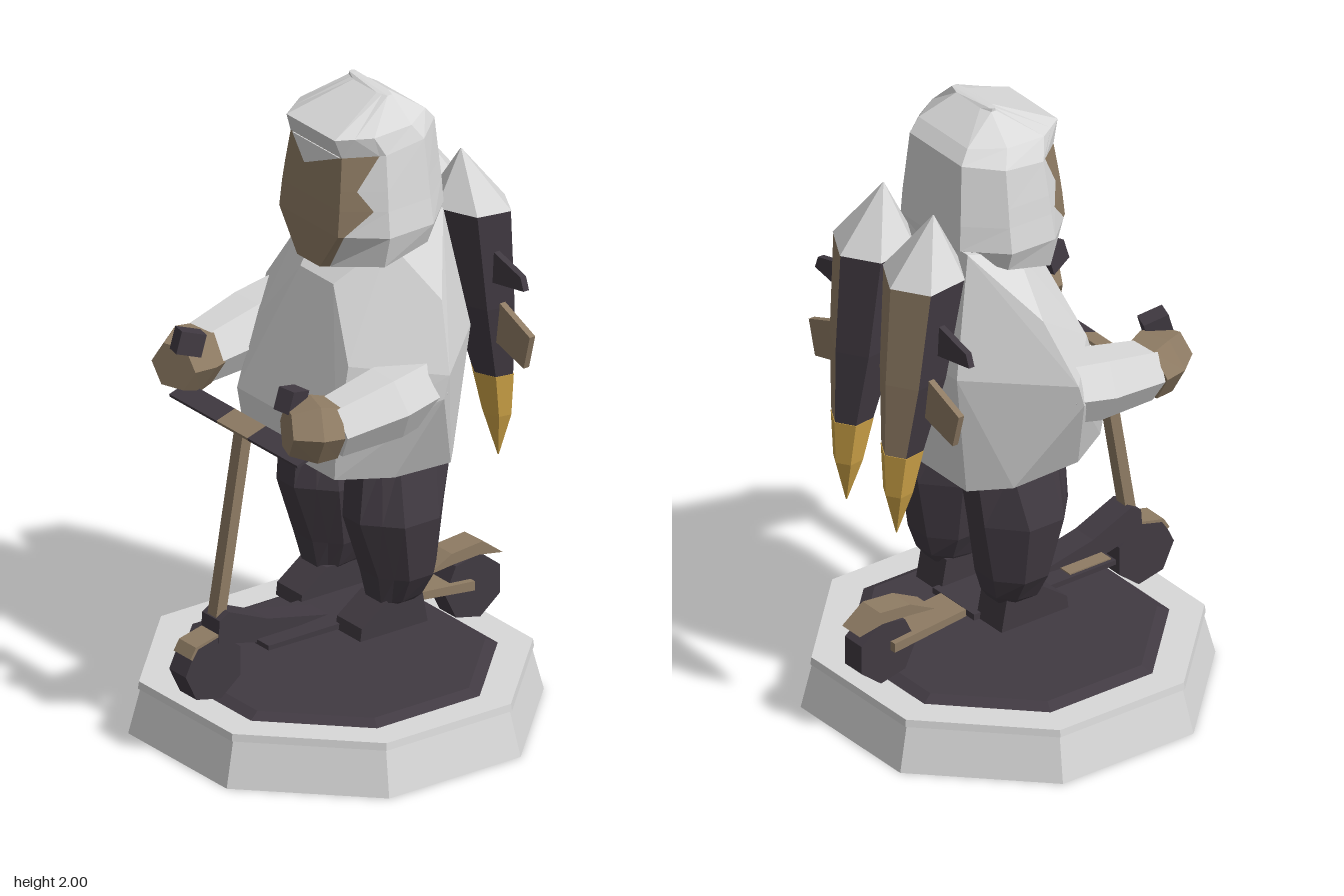
import * as THREE from 'three';
import { ConvexGeometry } from 'three/addons/geometries/ConvexGeometry.js';

const mat = (name, color) => {
  const m = new THREE.MeshStandardMaterial({ color });
  m.name = name;
  return m;
};

export function createModel() {
  const root = new THREE.Group();
  const light = mat('light grey', 0xd9d9d9);
  const brown = mat('brown', 0x8f7c64);
  const dark = mat('dark plum', 0x413a42);
  const gold = mat('gold', 0xd0a548);

  // Adds a faceted mesh
  function add(name, geo, material, parent = root) {
    const g = geo.index ? geo.toNonIndexed() : geo;
    g.computeVertexNormals();
    const m = new THREE.Mesh(g, material);
    m.name = name;
    parent.add(m);
    return m;
  }

  // Skins closed rings of points; pick(row, side) chooses the material index
  function loft(rings, pick = () => 0) {
    const pos = [], geo = new THREE.BufferGeometry(), n = rings[0].length;
    const tri = (slot, ...pts) => {
      geo.addGroup(pos.length / 3, 3, slot);
      pts.forEach(p => pos.push(p.x, p.y, p.z));
    };
    const mid = r => r.reduce((a, p) => a.add(p), new THREE.Vector3()).divideScalar(n);
    const last = rings.length - 1, c0 = mid(rings[0]), c1 = mid(rings[last]);
    for (let j = 0; j < n; j++) {
      const k = (j + 1) % n;
      for (let i = 0; i < last; i++) {
        const a = rings[i], b = rings[i + 1], s = pick(i, j);
        tri(s, a[j], a[k], b[k]);
        tri(s, a[j], b[k], b[j]);
      }
      tri(pick(-1, j), c0, rings[0][k], rings[0][j]);
      tri(pick(last, j), c1, rings[last][j], rings[last][k]);
    }
    geo.setAttribute('position', new THREE.Float32BufferAttribute(pos, 3));
    return geo;
  }

  // Level ring of eight facets; f is the width of its front and back facets,
  // t splits the two front diagonals at that fraction
  function ring([yBack, yFront, w, zBack, zFront], f = 0.5, x = 0, t = 0.5) {
    const su = f + (1 - f) * t, sv = 1 - 0.59 * t;
    const shape = [[-f, 1], [f, 1], [su, sv], [1, 0.41], [1, -0.41],
      [f, -1], [-f, -1], [-1, -0.41], [-1, 0.41], [-su, sv]];
    return shape.map(([u, v]) => {
      const h = (v + 1) / 2;
      return new THREE.Vector3(x + u * w, yBack + (yFront - yBack) * h, zBack + (zFront - zBack) * h);
    });
  }

  // Six-sided limb along a path of [x, y, z, radius]
  function limb(path) {
    const P = path.map(p => new THREE.Vector3(p[0], p[1], p[2]));
    return loft(P.map((p, i) => {
      const d = P[Math.min(i + 1, P.length - 1)].clone().sub(P[Math.max(i - 1, 0)]).normalize();
      const v = d.clone().cross(new THREE.Vector3(1, 0, 0)).normalize();
      const u = v.clone().cross(d);
      return Array.from({ length: 6 }, (_, j) => {
        const a = j / 6 * Math.PI * 2, r = path[i][3];
        return p.clone().addScaledVector(u, Math.cos(a) * r).addScaledVector(v, Math.sin(a) * r);
      });
    }));
  }

  // Side profile of [z, y] points, extruded across x
  function profile(pts, width, x = 0) {
    const s = new THREE.Shape(pts.map(p => new THREE.Vector2(...p)));
    const g = new THREE.ExtrudeGeometry(s, { depth: width, bevelEnabled: false });
    return g.rotateY(-Math.PI / 2).translate(x + width / 2, 0, 0);
  }
  const octagon = (rTop, rBottom, y0, y1) =>
    new THREE.CylinderGeometry(rTop / Math.cos(Math.PI / 8), rBottom / Math.cos(Math.PI / 8), y1 - y0, 8)
      .rotateY(Math.PI / 8).translate(0, (y0 + y1) / 2, 0);

  // Plinth
  add('plinth', octagon(0.543, 0.577, 0, 0.14), light);
  add('plinthRim', octagon(0.547, 0.55, 0.14, 0.163), light);
  add('plinthInset', octagon(0.415, 0.455, 0.16, 0.18), dark);

  // Torso with sloping shoulders and upper arms, mirrored corner points
  const corners = [
    [0.16, 1.6, -0.27], [0.2, 1.55, -0.24], [0.15, 1.54, -0.08], [0.08, 1.42, 0.07],
    [0.34, 1.41, -0.13], [0.445, 1.22, -0.08], [0.445, 1.15, -0.06], [0.22, 1.22, 0.12],
    [0.2, 1.22, -0.34], [0.35, 0.98, -0.05], [0.24, 1.0, 0.18], [0.22, 0.87, 0.17],
    [0.31, 0.87, 0.02], [0.29, 0.85, -0.2], [0.18, 0.82, -0.29],
  ];
  add('torso', new ConvexGeometry(corners.flatMap(([x, y, z]) =>
    [new THREE.Vector3(x, y, z), new THREE.Vector3(-x, y, z)])), light);

  // Hooded head with a jagged brown face opening: ring, front width, x shift, split
  const isFace = (row, side) => (row >= 0 && row < 4 && [0, 1, 9].includes(side) ? 1 : 0);
  add('hood', loft([
    [[1.57, 1.475, 0.22, -0.28, 0.1], 0.25, 0, 0.15],
    [[1.61, 1.6, 0.245, -0.285, 0.1], 0.58, 0, 0.12],
    [[1.69, 1.68, 0.232, -0.28, 0.092], 0.6, 0, 0.7],
    [[1.75, 1.74, 0.224, -0.275, 0.085], 0.6, 0, 0.35],
    [[1.88, 1.84, 0.207, -0.265, 0.072], 0.6, 0, 0.85],
    [[1.92, 1.905, 0.18, -0.23, 0.1], 0.65, 0.01, 0.5],
    [[1.99, 1.99, 0.095, -0.13, -0.09], 0.6, 0.02, 0.5],
    [[2.0, 2.0, 0.01, -0.12, -0.1], 0.5, -0.065, 0.5],
  ].map(a => ring(...a)), isFace), [light, brown]);
  const peak = new THREE.Shape([[-0.11, 0.04], [-0.04, -0.03], [0.12, 0.04]].map(p => new THREE.Vector2(...p)));
  add('hoodPeak', new THREE.ExtrudeGeometry(peak, { depth: 0.005, bevelEnabled: false })
    .rotateX(-0.13).translate(0, 1.8, 0.077), light);

  for (const s of [1, -1]) {
    const side = s > 0 ? 'left' : 'right';

    // Forearm, hand and grip
    add(side + 'Sleeve', limb([
      [s * 0.33, 1.16, -0.08, 0.105], [s * 0.33, 1.13, 0.06, 0.11], [s * 0.32, 1.1, 0.26, 0.09],
    ]), light);
    add(side + 'Hand', limb([[s * 0.32, 1.1, 0.25, 0.092], [s * 0.305, 1.105, 0.31, 0.102], [s * 0.275, 1.11, 0.385, 0.075]]), brown);
    const grip = add(side + 'Grip', new THREE.BoxGeometry(0.055, 0.07, 0.08), dark);
    grip.position.set(s * 0.25, 1.19, 0.35);
    grip.rotation.set(-0.3, s * 0.3, 0);

    // Trouser leg and shoe
    add(side + 'Leg', loft([
      ring([0.4, 0.4, 0.055, -0.17, -0.03], 0.5, s * 0.15),
      ring([0.43, 0.41, 0.075, -0.19, -0.02], 0.5, s * 0.155),
      ring([0.5, 0.5, 0.115, -0.21, 0.0], 0.4, s * 0.16),
      ring([0.69, 0.69, 0.142, -0.24, 0.065], 0.3, s * 0.16),
      ring([0.88, 0.88, 0.09, -0.27, 0.05], 0.5, s * 0.16),
    ]), dark);
    add(side + 'Shoe', profile([[-0.18, 0.315], [0.065, 0.315], [0.06, 0.355], [-0.03, 0.42], [-0.16, 0.42]], 0.12, s * 0.145), dark);

    // Back rocket: tapered hexagonal tube, pale nose, gold tip
    const hex = (y, z, r) => Array.from({ length: 6 }, (_, j) => {
      const a = j * Math.PI / 3;
      return new THREE.Vector3(s * 0.12 + Math.sin(a) * r * 1.08, y + Math.cos(a) * r * 0.1, z + Math.cos(a) * r);
    });
    const rocket = new THREE.Group();
    rocket.name = side + 'Rocket';
    root.add(rocket);
    const strip = (row, j) => (j === 2 || (j === 3 && s < 0) ? 1 : 0);
    add('rocketTube', loft([hex(1.0, -0.48, 0.062), hex(1.25, -0.44, 0.1), hex(1.57, -0.4, 0.122)], strip), [dark, brown], rocket);
    add('rocketNose', loft([hex(1.57, -0.4, 0.124), hex(1.75, -0.365, 0.002)]), light, rocket);
    add('rocketTip', loft([hex(0.73, -0.5, 0.002), hex(0.87, -0.494, 0.045), hex(1.01, -0.479, 0.065)]), gold, rocket);

    // Fins
    const fin = (name, pts, z, m) => {
      const sh = new THREE.Shape(pts.map(([x, y]) => new THREE.Vector2(s * x, y)));
      add(name, new THREE.ExtrudeGeometry(sh, { depth: 0.02, bevelEnabled: false }).translate(0, 0, z), m, rocket);
    };
    fin('upperFin', [[0.2, 1.45], [0.2, 1.34], [0.37, 1.37], [0.355, 1.41]], -0.425, dark);
    fin('lowerFin', [[0.18, 1.28], [0.18, 1.14], [0.33, 1.1], [0.36, 1.21]], -0.455, brown);
  }

  // Scooter: stem and handlebar
  const stem = add('stem', new THREE.BoxGeometry(0.042, 0.6, 0.035), brown);
  stem.position.set(0, 0.7, 0.388);
  stem.rotation.x = -0.17;
  for (const [name, w, x, m] of [['handlebarLeft', 0.24, 0.19, dark], ['handlebarMiddle', 0.15, -0.005, brown], ['handlebarRight', 0.23, -0.195, dark]]) {
    const bar = add(name, new THREE.BoxGeometry(w, 0.01, 0.07), m);
    bar.position.set(x, 1.012, 0.34);
    bar.rotation.x = 0.3;
  }

  // Scooter: deck, fork, fenders and wheels
  add('deck', profile([[0.32, 0.335], [0.32, 0.32], [-0.2, 0.315], [-0.2, 0.335]], 0.2), dark);
  add('deckPatch', profile([[0.31, 0.339], [0.31, 0.334], [0.16, 0.334], [0.16, 0.339]], 0.055, -0.06), brown);
  add('deckTail', profile([[-0.19, 0.335], [-0.19, 0.312], [-0.46, 0.28], [-0.46, 0.31]], 0.12), brown);
  add('fork', profile([[0.455, 0.43], [0.42, 0.45], [0.28, 0.39], [0.06, 0.342], [0.32, 0.325], [0.46, 0.36]], 0.085), dark);
  add('rearFender', profile([[-0.3, 0.365], [-0.39, 0.41], [-0.5, 0.42], [-0.575, 0.365], [-0.49, 0.38], [-0.4, 0.375]], 0.085), brown);
  add('frontTread', profile([[0.455, 0.388], [0.54, 0.368], [0.56, 0.335], [0.553, 0.33], [0.533, 0.36], [0.455, 0.38]], 0.082), brown);
  for (const [name, z] of [['frontWheel', 0.472], ['rearWheel', -0.472]]) {
    add(name, new THREE.CylinderGeometry(0.105, 0.105, 0.08, 7).rotateZ(Math.PI / 2), dark).position.set(0, 0.282, z);
  }
  return root;
}
